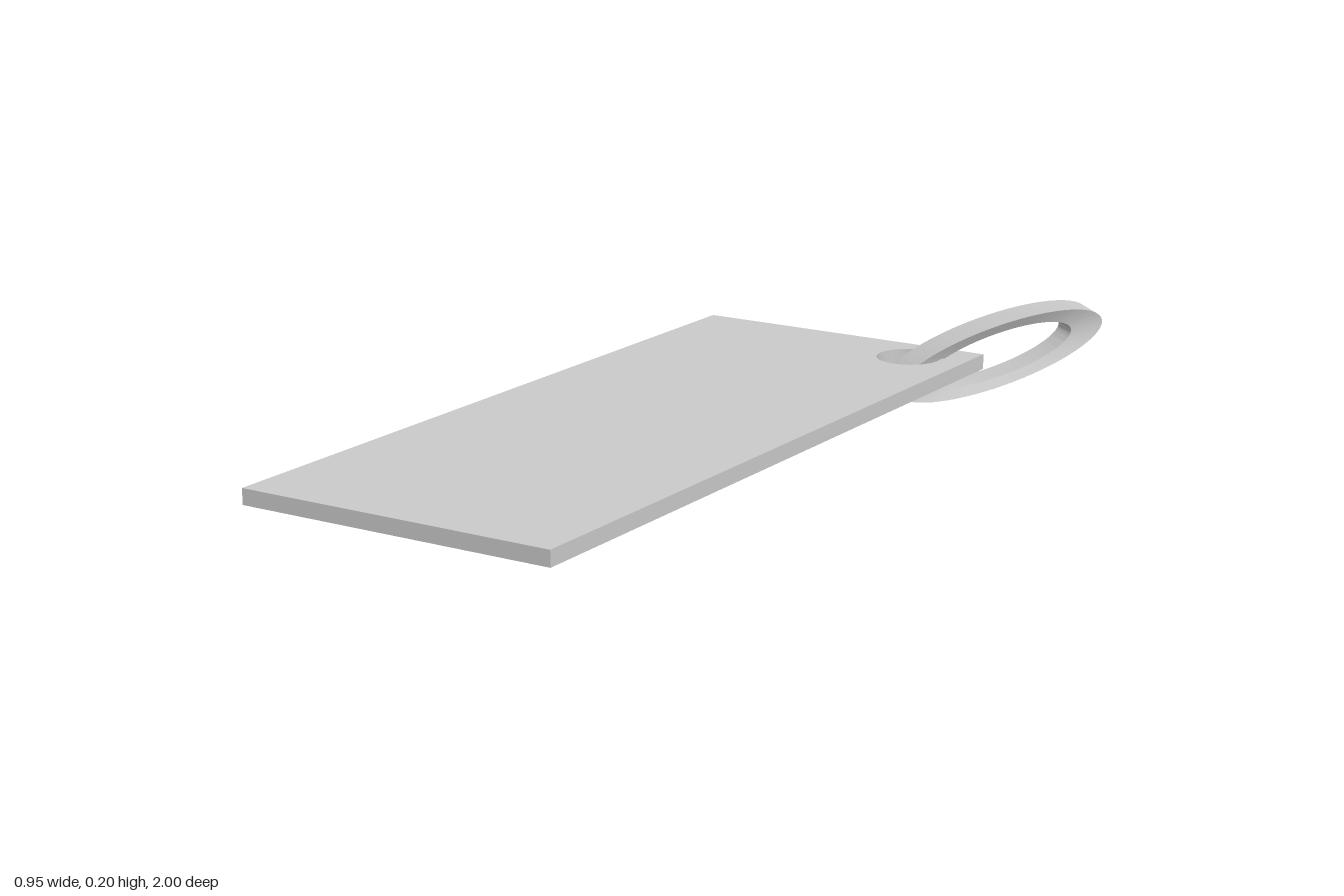
import * as THREE from 'three';
import { toCreasedNormals } from 'three/addons/utils/BufferGeometryUtils.js';

export function createModel() {
  const model = new THREE.Group();
  const material = new THREE.MeshStandardMaterial({ color: 0xcccccc });

  // Flat tag with a round hole in one back corner
  const outline = new THREE.Shape([
    [-0.475, -1], [0.267, -1], [0.267, 0.74], [-0.475, 0.74],
  ].map(([x, y]) => new THREE.Vector2(x, y)));
  outline.holes.push(new THREE.Path().absarc(0.132, 0.627, 0.075, 0, Math.PI * 2, true));
  const tagGeometry = new THREE.ExtrudeGeometry(outline, {
    depth: 0.035, bevelEnabled: false, curveSegments: 32,
  });
  tagGeometry.rotateX(-Math.PI / 2).translate(0, 0.065, 0);
  const tag = new THREE.Mesh(toCreasedNormals(tagGeometry, 0.6), material);
  tag.name = 'tag';
  model.add(tag);

  // Ring: a unit band with a slightly tapered section
  const section = [[1, -0.05], [1, 0.05], [0.71, 0.039], [0.71, -0.039], [1, -0.05]];
  const ringGeometry = new THREE.LatheGeometry(
    section.map(([r, h]) => new THREE.Vector2(r, h)), 96);

  // Squash it to a leaning ellipse, upright and turned diagonally through the hole
  const along = new THREE.Vector3(0.682 * 0.25, 0.067, -0.732 * 0.25);
  const across = new THREE.Vector3(0.732, 0, 0.682);
  const down = new THREE.Vector3(0, -0.074, 0);
  ringGeometry.applyMatrix4(
    new THREE.Matrix4().makeBasis(along, across, down).setPosition(0.271, 0.1, -0.78));
  const ring = new THREE.Mesh(toCreasedNormals(ringGeometry, 0.8), material);
  ring.name = 'ring';
  model.add(ring);

  return model;
}
